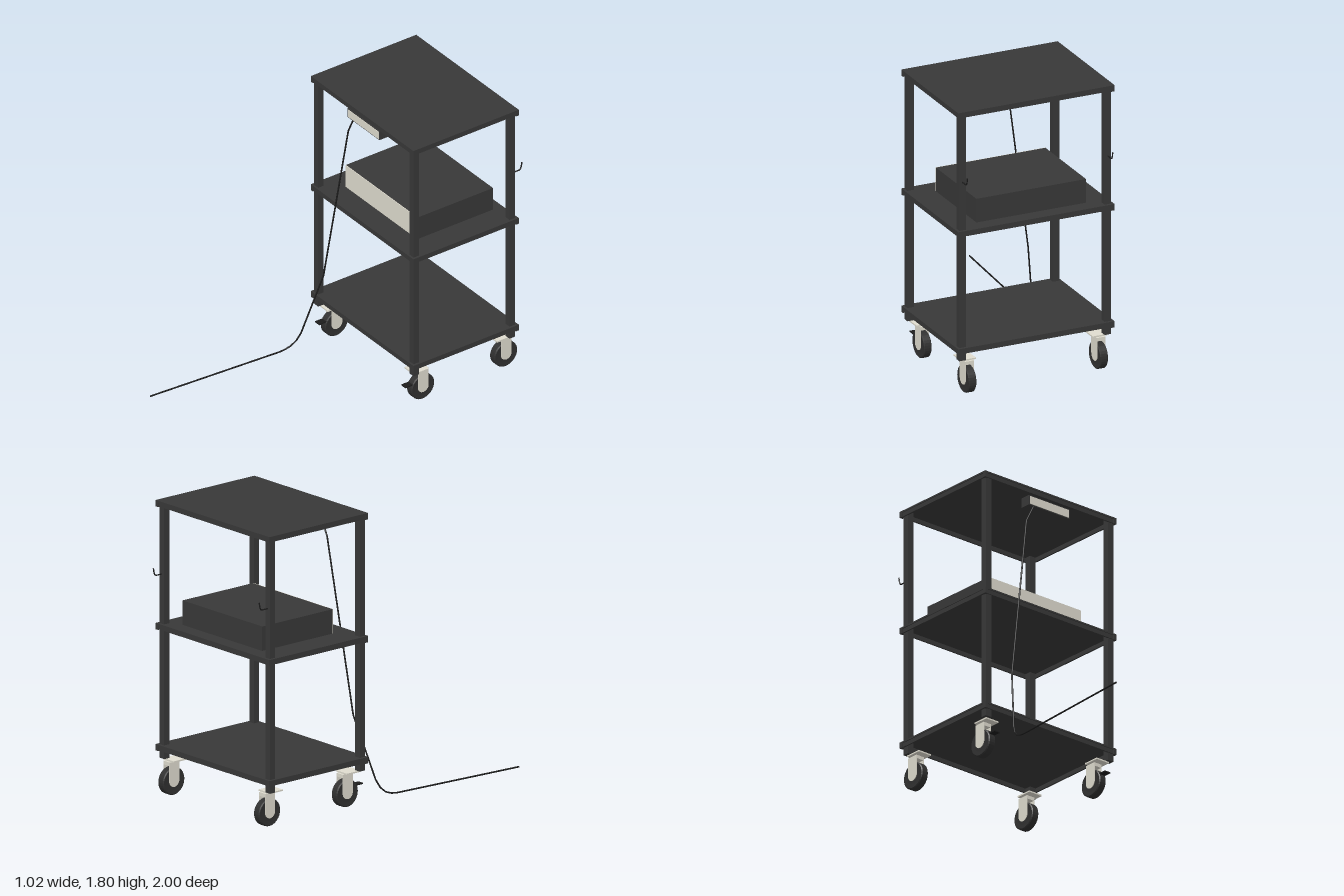
import * as THREE from 'three';

export function createModel() {
  const model = new THREE.Group();
  model.name = 'equipmentTrolley';

  const mat = (name, color) => {
    const m = new THREE.MeshStandardMaterial({ color });
    m.name = name;
    return m;
  };
  const frame = mat('charcoal frame', 0x383838);
  const rubber = mat('dark rubber', 0x303030);
  const cableBlack = mat('black cable', 0x1c1c1c);
  const beige = mat('pale beige', 0xdfdccf);

  const add = (parent, name, geometry, material) => {
    const mesh = new THREE.Mesh(geometry, material);
    mesh.name = name;
    parent.add(mesh);
    return mesh;
  };
  // Box given by its extents on each axis
  const box = (parent, name, [x0, x1], [y0, y1], [z0, z1], material) => {
    const mesh = add(parent, name, new THREE.BoxGeometry(x1 - x0, y1 - y0, z1 - z0), material);
    mesh.position.set((x0 + x1) / 2, (y0 + y1) / 2, (z0 + z1) / 2);
    return mesh;
  };
  // Tube following straight runs between points
  const tube = (parent, name, points, radius, segments, material) => {
    const path = new THREE.CurvePath();
    const v = points.map((p) => new THREE.Vector3(...p));
    for (let i = 1; i < v.length; i++) path.add(new THREE.LineCurve3(v[i - 1], v[i]));
    return add(parent, name, new THREE.TubeGeometry(path, segments, radius, 8), material);
  };

  // Shelves, each a thin sheet with a rim folded down around it and corner brackets
  const shelves = { topShelf: 1.76, middleShelf: 1.006, bottomShelf: 0.263 };
  for (const [name, y] of Object.entries(shelves)) {
    const shelf = new THREE.Group();
    shelf.name = name;
    model.add(shelf);
    box(shelf, 'topSheet', [-0.511, 0.511], [y + 0.026, y + 0.036], [-0.947, -0.178], frame);
    for (const s of [-1, 1]) {
      const sideRim = add(shelf, 'sideRim', new THREE.BoxGeometry(0.01, 0.027, 0.759), frame);
      sideRim.position.set(s * 0.501, y + 0.0135, -0.5625);
      const longRim = add(shelf, 'longRim', new THREE.BoxGeometry(1.012, 0.027, 0.01), frame);
      longRim.position.set(0, y + 0.0135, -0.5625 + s * 0.3745);
      for (const sz of [-1, 1]) {
        const bracket = add(shelf, 'cornerBracket', new THREE.BoxGeometry(0.022, 0.033, 0.022), frame);
        bracket.position.set(s * 0.5, y + 0.0135, -0.5625 + sz * 0.3735);
      }
    }
  }

  // Four legs, with a cable hook behind each back leg
  for (const s of [-1, 1]) {
    const x = s * 0.475;
    for (const z of [-0.21, -0.91]) {
      box(model, 'leg', [x - 0.021, x + 0.021], [0.215, 1.79], [z - 0.02, z + 0.02], frame);
    }
    tube(model, 'cableHook', [
      [x, 1.347, -0.925], [x, 1.347, -0.975], [x, 1.352, -0.984],
      [x, 1.365, -0.99], [x, 1.396, -0.996],
    ], 0.004, 30, cableBlack);
  }

  // Wheel with a flat tread and slightly bevelled rims
  const tyre = new THREE.LatheGeometry([
    [0.001, -0.023], [0.055, -0.023], [0.078, -0.025], [0.084, -0.02],
    [0.084, 0.02], [0.078, 0.025], [0.055, 0.023], [0.001, 0.023],
  ].map(([r, h]) => new THREE.Vector2(r, h)), 32).toNonIndexed();
  tyre.rotateZ(Math.PI / 2);
  tyre.computeVertexNormals();

  // Fork cheek, drawn as a strip with a rounded lower end
  const cheekShape = new THREE.Shape();
  cheekShape.moveTo(0.038, 0.115);
  cheekShape.lineTo(-0.038, 0.115);
  cheekShape.lineTo(-0.038, 0);
  cheekShape.absarc(0, 0, 0.038, Math.PI, Math.PI * 2, false);
  cheekShape.closePath();
  const cheek = new THREE.ExtrudeGeometry(cheekShape, { depth: 0.004, bevelEnabled: false });
  cheek.translate(0, 0, -0.002).rotateY(Math.PI / 2);

  const makeCaster = (x, z, hasBrake) => {
    const caster = new THREE.Group();
    caster.name = 'caster';
    caster.position.set(x, 0.084, z);
    model.add(caster);
    add(caster, 'wheel', tyre, rubber);
    for (const s of [-1, 1]) {
      add(caster, 'forkCheek', cheek, beige).position.set(s * 0.0265, 0.004, 0);
    }
    box(caster, 'forkCrown', [-0.0285, 0.0285], [0.1, 0.122], [-0.038, 0.038], beige);
    box(caster, 'mountingPlate', [-0.048, 0.048], [0.122, 0.131], [-0.024, 0.082], beige);
    if (hasBrake) {
      box(caster, 'brakePedal', [-0.021, 0.021], [0.033, 0.04], [0.06, 0.125], cableBlack);
    }
  };
  for (const s of [-1, 1]) {
    makeCaster(s * 0.43, -0.29, true);
    makeCaster(s * 0.43, -0.895, false);
  }

  // Equipment case on the middle shelf
  box(model, 'equipmentCase', [-0.36, 0.356], [1.05, 1.2], [-0.872, -0.324], frame);
  box(model, 'equipmentFront', [-0.36, 0.356], [1.05, 1.2], [-0.324, -0.32], beige);

  // Power strip below the top shelf, with an inset pale face
  box(model, 'powerStrip', [-0.16, 0.156], [1.686, 1.748], [-0.26, -0.19], frame);
  box(model, 'powerStripFront', [-0.154, 0.15], [1.692, 1.742], [-0.19, -0.187], beige);

  // Power cable falling to the floor and running forward
  tube(model, 'powerCable', [
    [-0.115, 1.69, -0.2], [-0.17, 1.58, -0.202], [-0.335, 0.51, -0.142],
    [-0.413, 0.11, -0.035], [-0.426, 0.06, -0.01], [-0.437, 0.03, 0.022],
    [-0.442, 0.016, 0.06], [-0.446, 0.011, 0.1], [-0.505, 0.009, 1],
  ], 0.005, 240, cableBlack);

  return model;
}
